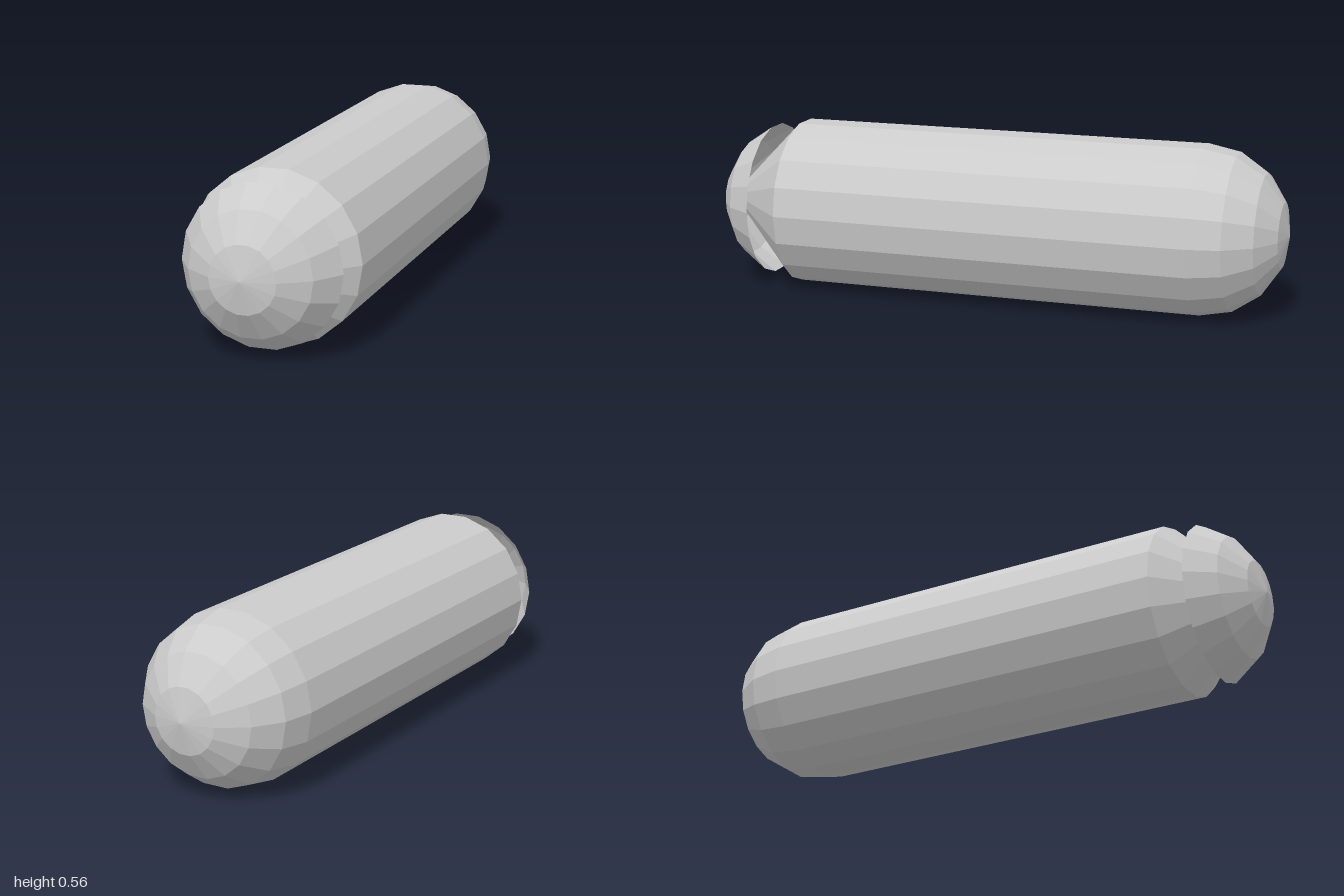
import * as THREE from 'three';

const R = 2 / 7;        // capsule radius
const HALF = 1 - R;     // half length of the straight barrel
const SIDES = 18;

// Point on the rounded end, angle in degrees from the tip
function capPoint(deg) {
  const a = THREE.MathUtils.degToRad(deg);
  return new THREE.Vector2(R * Math.sin(a), HALF + R * Math.cos(a));
}

// Faceted solid of revolution laid along z, with a corner on the x axis
function turned(name, profile, side) {
  const geometry = new THREE.LatheGeometry(profile, SIDES, Math.PI / 2);
  geometry.rotateX(Math.PI / 2);
  const material = new THREE.MeshStandardMaterial({ color: 0xcccccc, flatShading: true, side });
  const mesh = new THREE.Mesh(geometry, material);
  mesh.name = name;
  mesh.position.y = R * Math.cos(Math.PI / SIDES);
  return mesh;
}

export function createModel() {
  const group = new THREE.Group();
  group.name = 'capsule';

  // Barrel with a rounded back end and a cone running into the front cap
  const backEnd = [0, 22.5, 45, 67.5, 90].map((d) => {
    const p = capPoint(d);
    return new THREE.Vector2(d === 0 ? 0 : p.x, -p.y);
  });
  const body = [...backEnd, new THREE.Vector2(R, HALF), new THREE.Vector2(0, 0.999)];
  group.add(turned('body', body, THREE.FrontSide));

  // Thin open dome at the front
  const dome = [67.5, 45, 22.5, 0].map(capPoint);
  group.add(turned('frontCap', dome, THREE.DoubleSide));

  return group;
}
